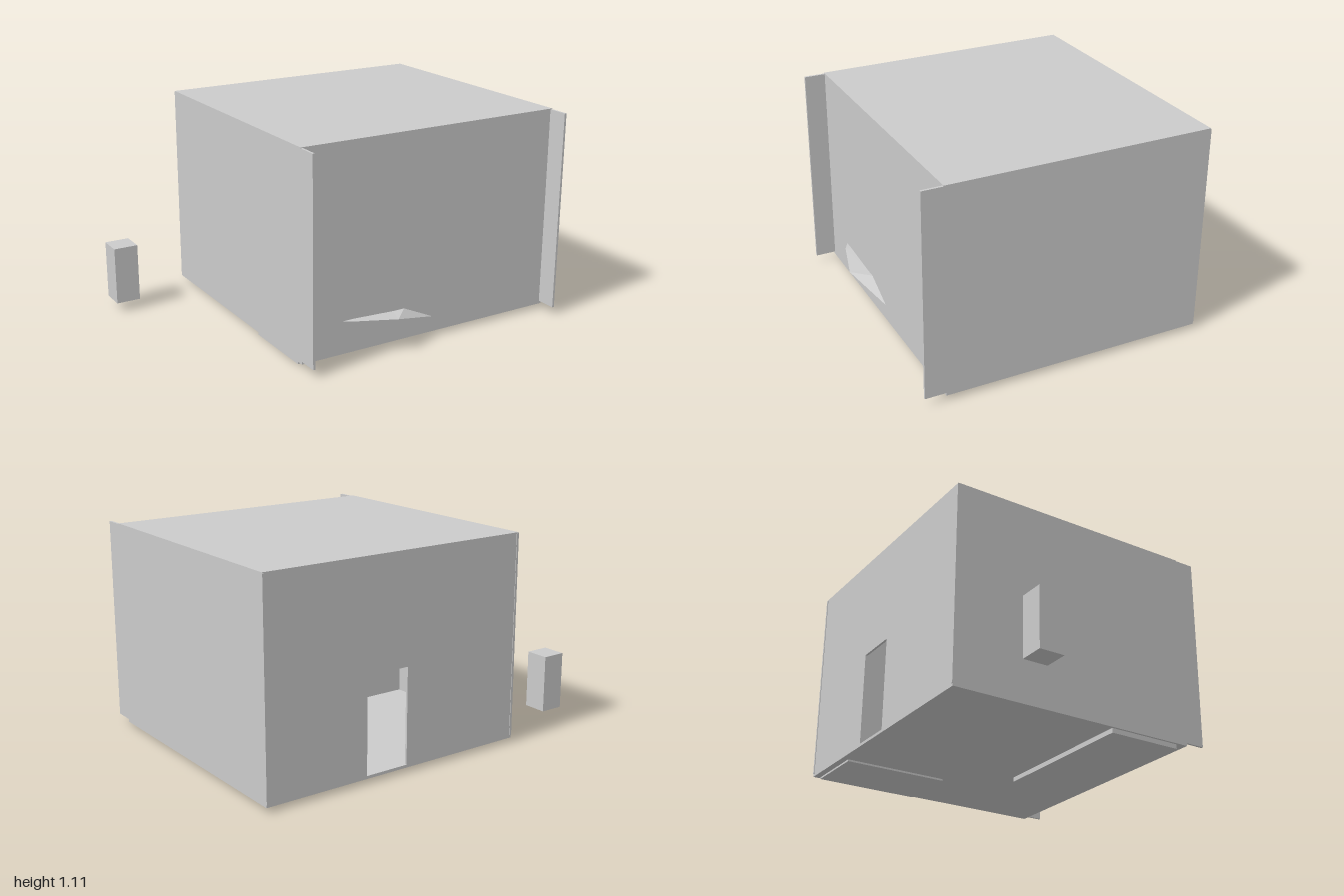
import * as THREE from 'three';

const grey = new THREE.MeshStandardMaterial({ color: 0xcccccc, flatShading: true });
const greyDouble = new THREE.MeshStandardMaterial({ color: 0xcccccc, flatShading: true, side: THREE.DoubleSide });

// Box given by its limits on each axis
function slab(name, [x0, x1], [y0, y1], [z0, z1]) {
  const mesh = new THREE.Mesh(new THREE.BoxGeometry(x1 - x0, y1 - y0, z1 - z0), grey);
  mesh.position.set((x0 + x1) / 2, (y0 + y1) / 2, (z0 + z1) / 2);
  mesh.name = name;
  return mesh;
}

// Wall with a doorway cut down to the floor
function doorWall() {
  const shape = new THREE.Shape();
  [[-0.488, 0.04], [0.195, 0.04], [0.195, 0.54], [0.435, 0.54], [0.435, 0.04],
    [0.988, 0.04], [0.988, 1.098], [-0.488, 1.098]]
    .forEach(([x, y], i) => (i ? shape.lineTo(x, y) : shape.moveTo(x, y)));
  const mesh = new THREE.Mesh(new THREE.ExtrudeGeometry(shape, { depth: 0.012, bevelEnabled: false }), grey);
  mesh.position.z = -0.745;
  mesh.name = 'backWall';
  return mesh;
}

// Folded sheet lying over the bench and poking out through the front wall
function blanket() {
  const rim = [[-0.29, 0.2, 0.63], [-0.22, 0.2, 0.67], [0, 0.185, 0.73], [0.3, 0.1, 0.63]];
  const fold = [[-0.29, 0.203, 0.5], [-0.15, 0.203, 0.5], [0.03, 0.19, 0.635], [0.1, 0.19, 0.635]];
  const positions = [];
  for (let i = 0; i < rim.length - 1; i++) {
    positions.push(...rim[i], ...rim[i + 1], ...fold[i + 1]);
    positions.push(...rim[i], ...fold[i + 1], ...fold[i]);
  }
  const geometry = new THREE.BufferGeometry();
  geometry.setAttribute('position', new THREE.Float32BufferAttribute(positions, 3));
  geometry.computeVertexNormals();
  const mesh = new THREE.Mesh(geometry, greyDouble);
  mesh.name = 'blanket';
  return mesh;
}

export function createModel() {
  const model = new THREE.Group();
  model.name = 'room';

  // Shell: floor, roof, front wall and back wall with doorway
  model.add(
    slab('floor', [-0.5, 1], [0.025, 0.04], [-0.745, 0.64]),
    slab('roof', [-0.5, 1], [1.098, 1.11], [-0.745, 0.64]),
    slab('frontWall', [-0.488, 0.988], [0.04, 1.098], [0.628, 0.64]),
    doorWall(),
  );

  // Side walls run on past the front wall
  slabPair(model);

  // Furniture, sunk slightly through the floor
  model.add(
    slab('bed', [0.64, 0.985], [0.015, 0.19], [-0.71, -0.14]),
    slab('bench', [-0.488, 0.4], [0, 0.2], [0.17, 0.58]),
    blanket(),
  );

  // Separate block outside
  model.add(slab('outsideBlock', [-1, -0.87], [0.05, 0.36], [-0.61, -0.48]));
  return model;
}

function slabPair(model) {
  for (const [name, x] of [['rightWall', -0.5], ['leftWall', 0.988]]) {
    model.add(slab(name, [x, x + 0.012], [0.04, 1.106], [-0.748, 0.748]));
  }
}
